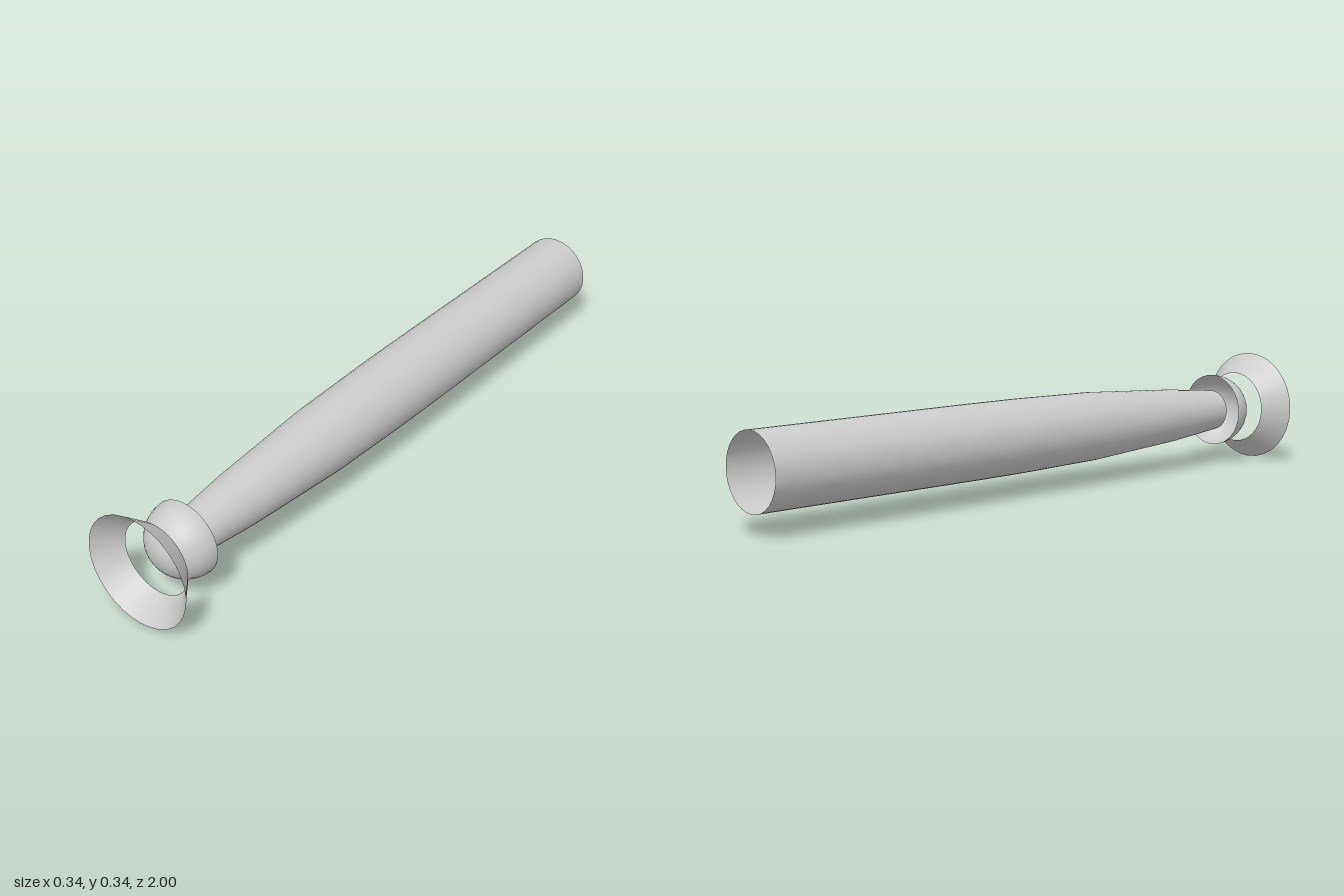
import * as THREE from 'three';

const AXIS_HEIGHT = 0.172;
const SEGMENTS = 32;

// Revolves [radius, z] pairs around the model's long axis.
function revolve(name, profile) {
  const points = profile.map(([r, z]) => new THREE.Vector2(r, z));
  const geometry = new THREE.LatheGeometry(points, SEGMENTS);
  geometry.rotateX(Math.PI / 2);
  const material = new THREE.MeshStandardMaterial({ color: 0xcccccc, side: THREE.DoubleSide });
  const mesh = new THREE.Mesh(geometry, material);
  mesh.name = name;
  mesh.position.y = AXIS_HEIGHT;
  return mesh;
}

export function createModel() {
  const group = new THREE.Group();
  group.name = 'taperedTube';

  // Long open barrel, straight at the back and tapering to the front
  group.add(revolve('barrel', [
    [0.063, 0.81], [0.083, 0.6], [0.104, 0.25], [0.11, -0.06], [0.111, -0.25], [0.111, -1],
  ].reverse()));

  // Hollow hemispherical cap, open towards the barrel
  const dome = [];
  const domeRadius = 0.113;
  const steps = 16;
  for (let i = 0; i <= steps; i++) {
    const a = (i / steps) * Math.PI / 2;
    dome.push([domeRadius * Math.cos(a), 0.81 + domeRadius * Math.sin(a)]);
  }
  dome[steps][0] = 0;
  group.add(revolve('dome', dome));

  // Tiny flat disc at the tip of the dome
  group.add(revolve('domeTip', [[0.009, 0.9235], [0, 0.9235]]));

  // Flared open ring in front of the dome
  group.add(revolve('flaredRing', [[0.112, 0.925], [0.172, 1]]));

  return group;
}
